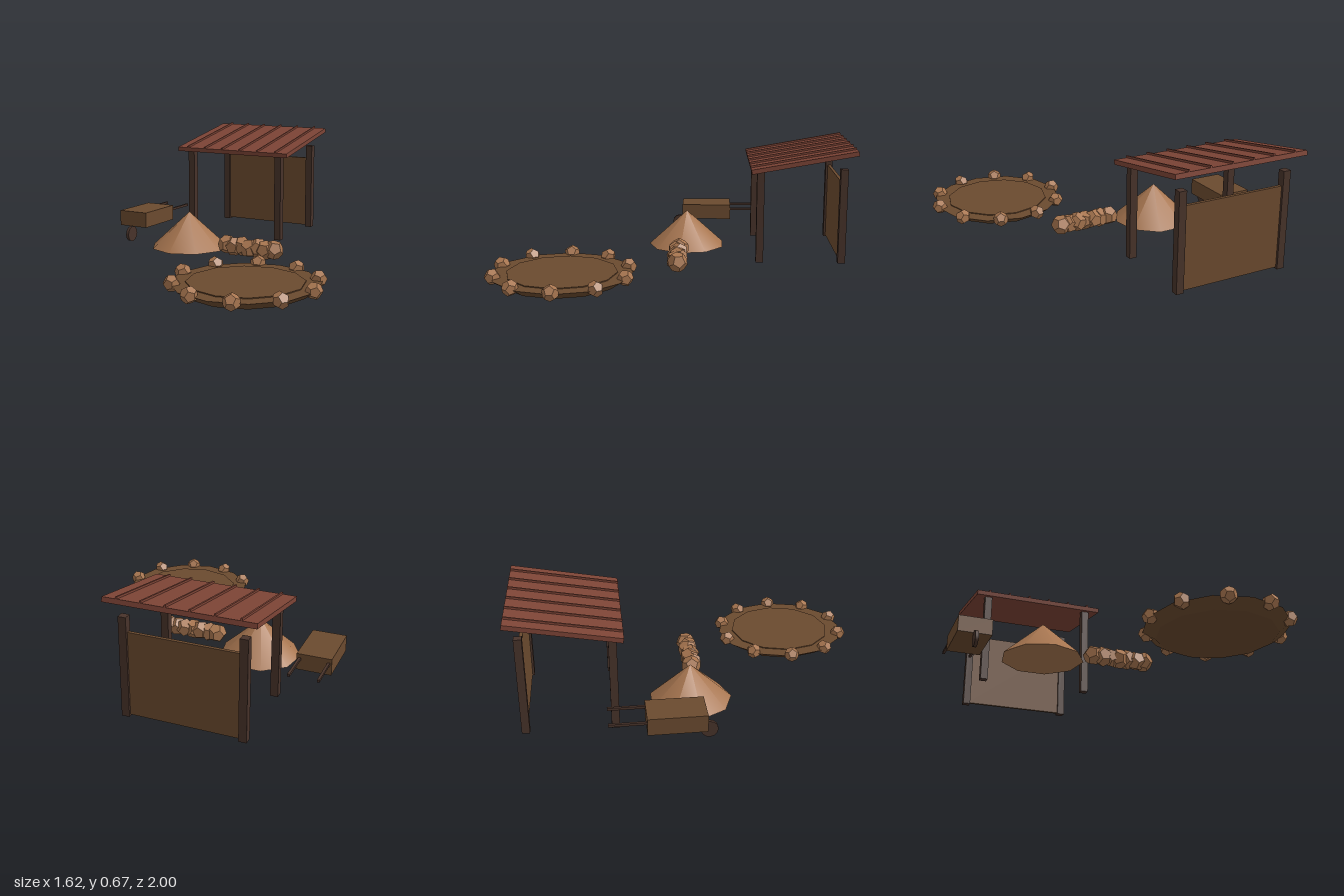
import * as THREE from 'three';

const mat = (name, color) => {
  const m = new THREE.MeshStandardMaterial({ color });
  m.name = name;
  return m;
};

export function createModel() {
  const wood = mat('wood', 0x6b4a2f);
  const darkWood = mat('dark wood', 0x48332a);
  const roofRed = mat('roof red', 0x7d4436);
  const clay = mat('clay', 0xa87650);

  const root = new THREE.Group();
  root.name = 'clayYard';

  const group = (name) => {
    const g = new THREE.Group();
    g.name = name;
    root.add(g);
    return g;
  };
  const add = (parent, name, geometry, material, x, y, z) => {
    const mesh = new THREE.Mesh(geometry, material);
    mesh.name = name;
    mesh.position.set(x, y, z);
    parent.add(mesh);
    return mesh;
  };
  const box = (w, h, d) => new THREE.BoxGeometry(w, h, d);

  // Open shelter: four posts, back wall and sloping ribbed roof
  const shelter = group('shelter');
  const cx = -0.255;
  for (const side of [-1, 1]) {
    for (const [name, z] of [['frontPost', -0.468], ['backPost', -0.932]]) {
      add(shelter, name, box(0.042, 0.54, 0.042), darkWood, cx + side * 0.308, 0.281, z);
    }
  }
  add(shelter, 'backWall', box(0.6, 0.45, 0.018), wood, cx, 0.245, -0.932);

  const roof = new THREE.Group();
  roof.name = 'roof';
  roof.position.set(cx, 0.596, -0.706);
  roof.rotation.x = 0.18;
  shelter.add(roof);
  add(roof, 'roofPanel', box(0.77, 0.026, 0.595), roofRed, 0, 0, 0);
  for (let i = 0; i < 6; i++) {
    add(roof, 'roofRib', box(0.009, 0.012, 0.595), roofRed, (i - 2.5) * 0.1236, 0.018, 0);
  }

  // Heap of clay
  add(root, 'clayHeap', new THREE.ConeGeometry(0.229, 0.21, 9), clay, -0.333, 0.117, -0.048);

  // Short stacked row of stones
  const row = group('stoneRow');
  const stone = new THREE.DodecahedronGeometry(0.057);
  for (let i = 0; i < 7; i++) {
    const upper = i % 2;
    const s = add(row, 'rowStone', stone, clay, -0.05 + i * 0.05, upper ? 0.057 : 0.062, upper ? 0.002 : -0.008);
    s.rotation.set(i * 0.9, i * 0.7, i * 0.4);
  }

  // Mixing pit with a ring of stones
  const pit = group('mixingPit');
  const px = 0.4, pz = 0.606;
  add(pit, 'pitBasin', new THREE.CylinderGeometry(0.382, 0.315, 0.045, 12), wood, px, 0.0225, pz);
  add(pit, 'pitSurface', new THREE.CylinderGeometry(0.3, 0.3, 0.006, 12), wood, px, 0.047, pz);
  const rimStone = new THREE.DodecahedronGeometry(0.044);
  for (let i = 0; i < 10; i++) {
    const a = (i / 10) * Math.PI * 2;
    const s = add(pit, 'rimStone', rimStone, clay, px + 0.368 * Math.cos(a), 0.05, pz + 0.368 * Math.sin(a));
    s.rotation.y = -a;
  }

  // Wheelbarrow: tray, wheel and two handles
  const barrow = group('wheelbarrow');
  add(barrow, 'tray', box(0.19, 0.092, 0.305), wood, -0.72, 0.145, -0.166);
  const wheel = add(barrow, 'wheel', new THREE.CylinderGeometry(0.046, 0.046, 0.018, 12), darkWood, -0.72, 0.057, 0.005);
  wheel.rotation.z = Math.PI / 2;
  for (const side of [-1, 1]) {
    add(barrow, 'handle', box(0.014, 0.014, 0.23), darkWood, -0.72 + side * 0.078, 0.162, -0.397);
  }

  return root;
}
